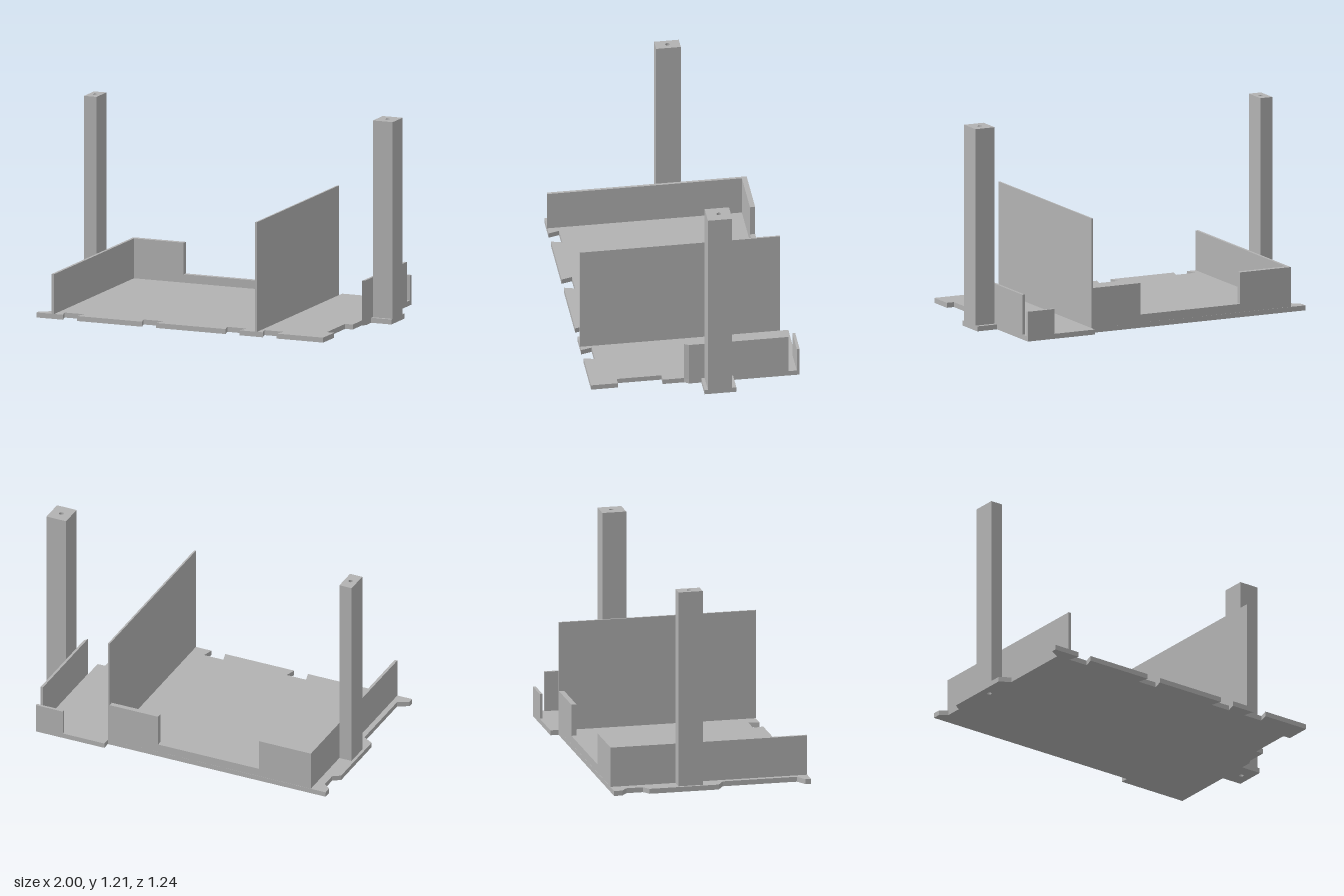
import * as THREE from 'three';

const grey = new THREE.MeshStandardMaterial({ color: 0xb2b2b2 });
grey.name = 'grey';

// Extrude an outline of [x, z] points upward from y0 to y1, with round holes [x, z]
function slab(name, points, y0, y1, holes = []) {
  const shape = new THREE.Shape(points.map(([x, z]) => new THREE.Vector2(x, -z)));
  for (const [x, z] of holes) {
    const hole = new THREE.Path();
    hole.absarc(x, -z, 0.014, 0, Math.PI * 2, true);
    shape.holes.push(hole);
  }
  const geometry = new THREE.ExtrudeGeometry(shape, { depth: y1 - y0, bevelEnabled: false, curveSegments: 16 });
  geometry.rotateX(-Math.PI / 2);
  geometry.translate(0, y0, 0);
  const mesh = new THREE.Mesh(geometry, grey);
  mesh.name = name;
  return mesh;
}

const rect = (x0, x1, z0, z1) => [[x0, z0], [x0, z1], [x1, z1], [x1, z0]];

export function createModel() {
  const group = new THREE.Group();
  group.name = 'openTray';
  const T = 0.03;
  const leftHole = [-0.943, -0.107], rightHole = [0.935, -0.13];

  // Base plate with dovetail notches along the front edge
  const notches = [-0.785, -0.275, 0.265, 0.505].flatMap((x) => [
    [x - 0.045, 0.62], [x - 0.063, 0.555], [x + 0.063, 0.555], [x + 0.045, 0.62],
  ]);
  const outline = [
    [-1, -0.575], [-1, -0.525], [-0.955, -0.49], [-0.955, -0.39], [-1, -0.36],
    [-1, 0.06], [-0.935, 0.1], [-0.935, 0.55], [-1, 0.585], [-1, 0.62],
    ...notches,
    [0.85, 0.62], [0.85, 0.46], [0.803, 0.46], [0.803, 0.193], [0.852, 0.193], [0.852, 0.065],
    [0.87, 0.038], [0.87, -0.035], [1, -0.035], [1, -0.225], [0.87, -0.225],
    [0.87, -0.622], [0.423, -0.622], [0.423, -0.573],
  ];
  group.add(slab('basePlate', outline, 0, T, [leftHole, rightHole]));

  // Left wall, tall partition and stepped back wall
  group.add(slab('leftWall', rect(-0.903, -0.886, -0.573, 0.62), T, 0.27));
  group.add(slab('partition', rect(0.412, 0.423, -0.573, 0.622), T, 0.69));
  group.add(slab('backWallLeft', rect(-0.886, -0.565, -0.573, -0.542), T, 0.27));
  group.add(slab('backWallLow', rect(-0.565, 0.095, -0.573, -0.542), T, 0.08));
  group.add(slab('backWallRight', rect(0.095, 0.412, -0.573, -0.542), T, 0.27));

  // Right wall with chamfered front end, and the short rear lip
  const rightWall = [[0.855, -0.555], [0.855, 0.065], [0.87, 0.038], [0.87, -0.555]];
  group.add(slab('rightWall', rightWall, T, 0.27));
  group.add(slab('rearLip', rect(0.694, 0.87, -0.622, -0.605), T, 0.18));

  // Corner posts drilled lengthwise
  group.add(slab('leftPost', rect(-0.983, -0.903, -0.18, -0.033), T, 1.215, [leftHole]));
  group.add(slab('rightPost', rect(0.872, 1, -0.2, -0.055), T, 1.215, [rightHole]));
  return group;
}
